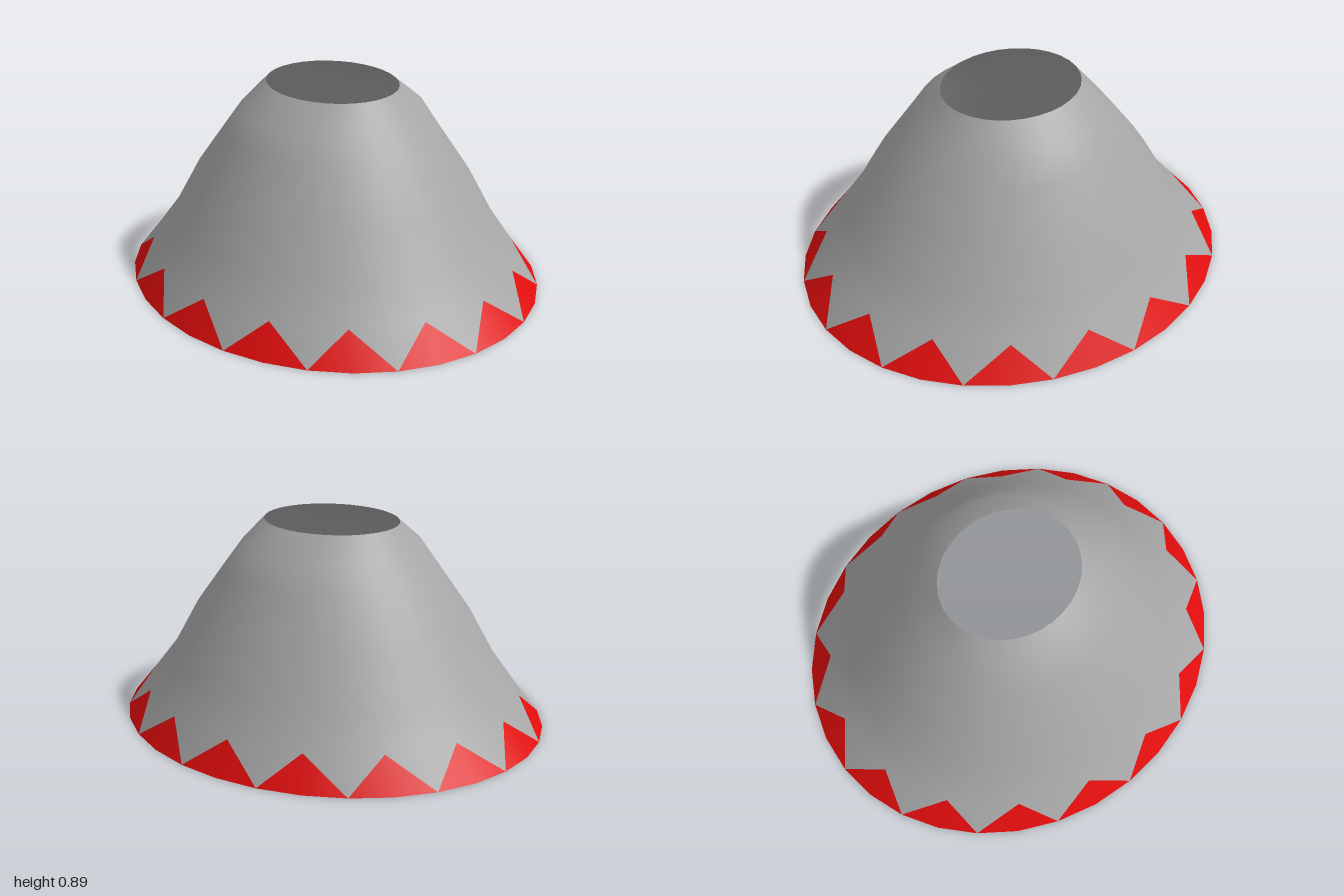
import * as THREE from 'three';

const SIDES = 32; // two sides per tooth, sixteen teeth

// Oval rings from the hem to the neck: [y, radius in x, radius in z]
const RINGS = [
  [0, 1, 0.89],
  [0.135, 0.88, 0.8],
  [0.28, 0.757, 0.71],
  [0.483, 0.64, 0.605],
  [0.688, 0.487, 0.472],
  [0.79, 0.405, 0.41],
  [0.895, 0.32, 0.28],
];

export function createModel() {
  const grey = new THREE.MeshStandardMaterial({ color: 0xa6a6a6, side: THREE.DoubleSide });
  grey.name = 'grey cloth';
  const red = new THREE.MeshStandardMaterial({ color: 0xe00c0c, side: THREE.DoubleSide });
  red.name = 'red trim';

  const positions = [];
  for (const [y, rx, rz] of RINGS) {
    for (let i = 0; i < SIDES; i++) {
      const a = (i / SIDES) * Math.PI * 2;
      positions.push(rx * Math.sin(a), y, rz * Math.cos(a));
    }
  }
  const at = (ring, i) => ring * SIDES + (i % SIDES);

  const cloth = [];
  const trim = [];
  // Hem: red teeth rise to the odd columns, grey points reach down at the even ones
  for (let i = 0; i < SIDES; i += 2) {
    const peak = at(1, i + 1);
    trim.push(at(0, i), at(0, i + 1), peak, at(0, i + 1), at(0, i + 2), peak);
    cloth.push(at(0, i), peak, at(1, i), at(0, i + 2), at(1, i + 2), peak);
  }
  // Flared body above the hem
  for (let r = 1; r < RINGS.length - 1; r++) {
    for (let i = 0; i < SIDES; i++) {
      cloth.push(at(r, i), at(r, i + 1), at(r + 1, i + 1));
      cloth.push(at(r, i), at(r + 1, i + 1), at(r + 1, i));
    }
  }

  const geometry = new THREE.BufferGeometry();
  geometry.setAttribute('position', new THREE.Float32BufferAttribute(positions, 3));
  geometry.setIndex([...cloth, ...trim]);
  geometry.addGroup(0, cloth.length, 0);
  geometry.addGroup(cloth.length, trim.length, 1);
  geometry.computeVertexNormals();

  const skirt = new THREE.Mesh(geometry, [grey, red]);
  skirt.name = 'flaredSkirtWithToothedHem';

  const group = new THREE.Group();
  group.name = 'skirt';
  group.add(skirt);
  return group;
}
